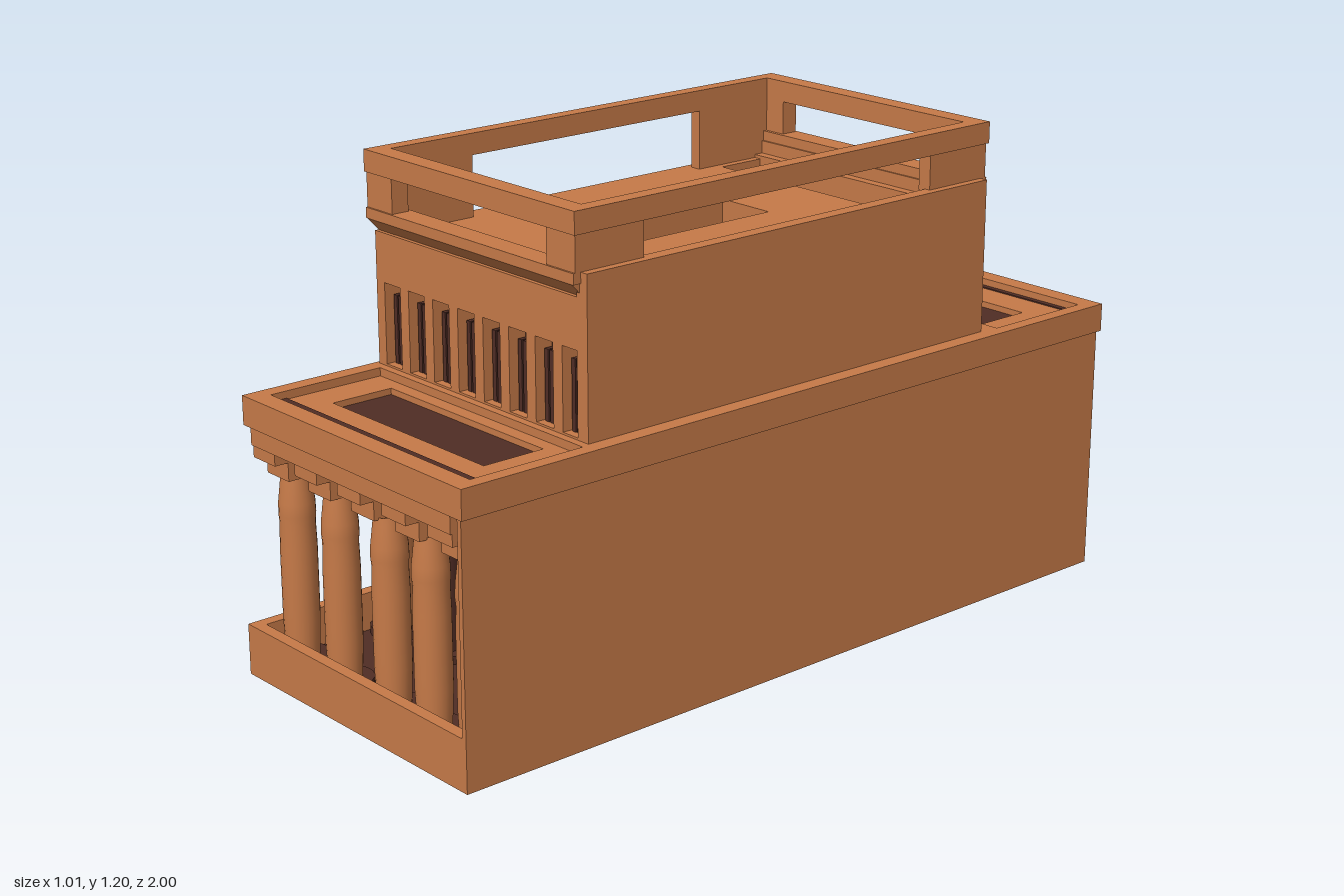
import * as THREE from 'three';

export function createModel() {
  const root = new THREE.Group();
  const mat = (name, color, side = THREE.FrontSide) => {
    const m = new THREE.MeshStandardMaterial({ color, side });
    m.name = name;
    return m;
  };
  const clay = mat('terracotta', 0xc67a48, THREE.DoubleSide);
  const dark = mat('dark brown', 0x502d25, THREE.DoubleSide);
  const black = mat('near black', 0x120d0b);

  const add = (name, geo, m = clay, parent = root) => {
    const mesh = new THREE.Mesh(geo, m);
    mesh.name = name;
    parent.add(mesh);
    return mesh;
  };
  // Box given by its limits on each axis
  const box = (name, x0, x1, y0, y1, z0, z1, m = clay, parent = root) => {
    const b = add(name, new THREE.BoxGeometry(x1 - x0, y1 - y0, z1 - z0), m, parent);
    b.position.set((x0 + x1) / 2, (y0 + y1) / 2, (z0 + z1) / 2);
    return b;
  };
  // Horizontal slab with a rectangular opening; rectangles are [x0, x1, z0, z1]
  const frame = (name, o, h, y0, y1, m = clay) => {
    const corners = ([a, b, c, d]) => [[a, -c], [b, -c], [b, -d], [a, -d]].map(p => new THREE.Vector2(...p));
    const shape = new THREE.Shape(corners(o));
    shape.holes.push(new THREE.Path(corners(h)));
    const geo = new THREE.ExtrudeGeometry(shape, { depth: y1 - y0, bevelEnabled: false });
    geo.rotateX(-Math.PI / 2);
    add(name, geo, m).position.y = y0;
  };
  const lathe = (name, pts, x, z, m = clay, sides = 24, parent = root) => {
    const geo = new THREE.LatheGeometry(pts.map(p => new THREE.Vector2(...p)), sides);
    const mesh = add(name, geo, m, parent);
    mesh.position.set(x, 0, z);
    return mesh;
  };
  // Prism extruded along z from an x-y outline
  const prism = (name, pts, z0, z1, m = clay) => {
    const shape = new THREE.Shape(pts.map(p => new THREE.Vector2(...p)));
    const geo = new THREE.ExtrudeGeometry(shape, { depth: z1 - z0, bevelEnabled: false });
    add(name, geo, m).position.z = z0;
  };

  // Base tray with raised lip, and the tall blind wall
  box('floor', -0.31, 0.48, 0.008, 0.03, -0.98, 0.98, dark);
  frame('baseLip', [-0.33, 0.495, -0.995, 0.995], [-0.3, 0.478, -0.965, 0.965], 0, 0.125);
  box('blindWall', 0.482, 0.495, 0.125, 0.62, -0.995, 0.995);
  box('blindWallLining', 0.477, 0.482, 0.03, 0.62, -0.965, 0.965, dark);
  box('blindWallCornice', 0.472, 0.505, 0.62, 0.69, -1, 1);
  box('wallLedge', 0.44, 0.48, 0.62, 0.69, -0.6, 0.63);

  // Column foot on the floor, with a rimmed socket underneath
  const foot = (x, z, r) => {
    const disc = (name, radius, y, h, m) =>
      add(name, new THREE.CylinderGeometry(radius, radius, h, 24), m).position.set(x, y, z);
    disc('columnFoot', r, 0.04, 0.02, dark);
    disc('footRim', r, 0.0065, 0.003, clay);
    disc('footSocket', r * 0.9, 0.0045, 0.003, black);
  };

  // Short bud columns carrying the two end porticoes
  const outerXs = [-0.25, -0.08, 0.108, 0.258, 0.412];
  const innerXs = [-0.25, -0.067, 0.12, 0.305];
  const bud = [[0.038, 0.03], [0.043, 0.14], [0.043, 0.32], [0.041, 0.38], [0.043, 0.4], [0.042, 0.43], [0.036, 0.48], [0.034, 0.5]];
  for (const s of [-1, 1]) {
    // Orders a distance range outward from the centre
    const span = (a, b) => s > 0 ? [a, b] : [-b, -a];
    for (const x of outerXs) {
      lathe('outerBudColumn', bud, x, s * 0.9);
      foot(x, s * 0.9, 0.066);
    }
    for (const x of innerXs) {
      lathe('innerBudColumn', bud, x, s * 0.63, x < -0.2 ? clay : dark);
      foot(x, s * 0.63, 0.066);
      box('innerAbacus', x - 0.0425, x + 0.0425, 0.495, 0.57, s * 0.63 - 0.045, s * 0.63 + 0.045, x < -0.2 ? clay : dark);
    }
    // Stepped blocks between columns and entablature
    for (let i = 0; i < 5; i++) {
      const x = -0.2525 + i * 0.1637;
      box('abacus', x - 0.0425, x + 0.0425, 0.495, 0.54, ...span(0.855, 0.945));
      box('beamEnd', x - 0.0425, x + 0.0425, 0.54, 0.57, ...span(0.82, 0.98));
    }
    // Entablature and recessed roof with a sunken panel
    frame('architrave', [-0.295, 0.445, ...span(0.58, 0.985)], [-0.21, 0.4, ...span(0.68, 0.87)], 0.57, 0.62);
    box('porticoCeiling', -0.21, 0.43, 0.5, 0.62, ...span(0.69, 0.85), dark);
    frame('roofBorder', [-0.3, 0.48, ...span(0.56, 1)], [-0.26, 0.47, ...span(0.65, 0.95)], 0.62, 0.69);
    frame('roofPanel', [-0.27, 0.475, ...span(0.6, 0.96)], [-0.17, 0.38, ...span(0.685, 0.845)], 0.62, 0.67);
    box('sunkenPanel', -0.19, 0.4, 0.61, 0.655, ...span(0.67, 0.86), dark);
    box('roofGutter', -0.26, 0.47, 0.668, 0.673, ...span(s > 0 ? 0.908 : 0.935, 0.95), dark);
  }

  // Tall hall columns: flared ones, and plain dark ones deeper inside
  const shaft = [[0.05, 0.03], [0.056, 0.12], [0.055, 0.4], [0.047, 0.66]];
  const capital = [[0.047, 0.64], [0.054, 0.65], [0.048, 0.67], [0.053, 0.71], [0.07, 0.75], [0.102, 0.78], [0.102, 0.81], [0, 0.81]];
  const plain = [[0.045, 0.03], [0.048, 0.12], [0.046, 0.5], [0.042, 0.9]];
  for (const z of [-0.2, 0.215]) {
    for (const x of [-0.232, 0.125, 0.3]) {
      lathe('hallShaft', shaft, x, z, x < -0.2 ? clay : dark, 28);
      lathe('hallCapital', capital, x, z, clay, 28);
      foot(x, z, 0.08);
    }
    box('hallAbacus', -0.277, -0.187, 0.81, 0.89, z - 0.045, z + 0.045);
    lathe('plainShaft', plain, -0.067, z, dark);
    foot(-0.067, z, 0.075);
  }
  for (const z of [-0.41, 0.42]) {
    for (const x of innerXs.slice(1)) {
      lathe('plainShaft', plain, x, z, dark);
      foot(x, z, 0.07);
    }
  }
  // Thick hall roof with skylight, and the open-side beam
  frame('hallRoof', [-0.26, 0.315, -0.4, 0.45], [0, 0.16, -0.18, 0.22], 0.88, 1);
  box('hallBeam', -0.31, -0.24, 0.87, 1, -0.55, 0.45);

  // Upper storey: blind side wall and two windowed end walls
  box('upperSideWall', 0.43, 0.465, 0.62, 1.065, -0.6, 0.63);
  box('sideWallLining', 0.424, 0.43, 0.62, 0.94, -0.54, 0.56, dark);
  for (const s of [-1, 1]) {
    const zc = 0.015;
    const zs = (a, b) => s > 0 ? [zc + a, zc + b] : [zc - b, zc - a];
    box('endWallLintel', -0.29, 0.465, 0.89, 1.008, ...zs(0.545, 0.615));
    box('endWallSill', -0.29, 0.445, 0.62, 0.695, ...zs(0.545, 0.615));
    for (let i = 0; i <= 8; i++) {
      const left = i === 0 ? -0.29 : -0.2 + (i - 1) * 0.0915;
      const right = i === 8 ? 0.465 : -0.26 + i * 0.0915;
      box('windowPier', left, right, 0.69, 0.89, ...zs(0.545, 0.615));
      if (i === 8) continue;
      for (let k = 0; k < 3; k++) {
        const x = right + 0.013 + k * 0.017;
        box('windowBar', x - 0.006, x + 0.006, 0.69, 0.86, ...zs(0.57, 0.595), dark);
      }
    }
    box('windowBack', -0.28, 0.44, 0.69, 0.89, ...zs(0.555, 0.568), dark);
    box('endWallLining', -0.285, 0.43, 0.62, 0.94, ...zs(0.538, 0.545), dark);
    // Cornice with sloping underside, then corner posts of the parapet
    const slope = box('corniceSlope', -0.29, 0.44, 1.008, 1.04, ...zs(0.57, 0.635));
    const p = slope.geometry.attributes.position;
    for (let i = 0; i < p.count; i++) {
      if (p.getY(i) < 0 && p.getZ(i) * s > 0) p.setZ(i, p.getZ(i) - s * 0.03);
    }
    slope.geometry.computeVertexNormals();
    box('cornice', -0.295, 0.445, 1.04, 1.065, ...zs(0.575, 0.635));
    box('parapetPost', -0.295, -0.2, 1.065, 1.15, ...zs(0.585, 0.63));
    box('parapetPost', 0.35, 0.445, 1.065, 1.15, ...zs(0.585, 0.63));
    box('sideParapetPost', 0.41, 0.445, 1.06, 1.15, ...zs(0.44, 0.63));
    box('openSidePost', -0.29, -0.26, 1, 1.15, ...zs(0.355, 0.59));
  }
  frame('parapetRail', [-0.297, 0.45, -0.62, 0.65], [-0.26, 0.412, -0.57, 0.6], 1.148, 1.2);

  // Entrance stair between two sloping side walls
  for (const [z0, z1] of [[-0.13, -0.09], [0.1, 0.16]]) {
    prism('stairSide', [[-0.51, 0], [-0.2, 0], [-0.2, 0.125], [-0.24, 0.125], [-0.51, 0.008]], z0, z1);
  }
  box('stairHollow', -0.33, -0.2, 0.001, 0.007, -0.09, 0.1, black);
  for (let i = 0; i < 7; i++) {
    const x = -0.508 + i * 0.029;
    box('step', x, x + 0.03, i * 0.011, 0.01 + i * 0.012, -0.1, 0.11);
  }
  box('landing', -0.31, -0.22, 0.03, 0.1, -0.1, 0.11);

  // Guardian statues facing the stair side, broad across the shoulders
  for (const z of [-0.19, 0.22]) {
    const statue = new THREE.Group();
    statue.name = 'guardianStatue';
    statue.position.set(-0.37, 0, z);
    root.add(statue);
    box('plinth', -0.03, 0.025, 0, 0.035, -0.035, 0.035, clay, statue);
    for (const s of [-1, 1]) {
      const leg = add('leg', new THREE.CylinderGeometry(0.02, 0.017, 0.14, 14), clay, statue);
      leg.position.set(0.002, 0.1, s * 0.016);
      const arm = add('arm', new THREE.CapsuleGeometry(0.014, 0.05, 4, 12), clay, statue);
      arm.position.set(0.004, 0.21, s * 0.037);
      const hand = add('forearm', new THREE.CapsuleGeometry(0.011, 0.02, 4, 12), clay, statue);
      hand.position.set(-0.008, 0.178, s * 0.032);
      hand.rotation.z = Math.PI / 2;
    }
    const torso = [[0, 0.15], [0.023, 0.155], [0.02, 0.185], [0.023, 0.225], [0.02, 0.245], [0.013, 0.255], [0.013, 0.27]];
    lathe('torso', torso, 0, 0, clay, 16, statue).scale.z = 1.5;
    const head = add('head', new THREE.SphereGeometry(0.02, 16, 12), clay, statue);
    head.position.set(0, 0.275, 0);
    box('beard', -0.024, -0.015, 0.245, 0.265, -0.006, 0.006, clay, statue);
    lathe('headdress', [[0, 0.288], [0.023, 0.288], [0.024, 0.3], [0.02, 0.312], [0.011, 0.33], [0.007, 0.34], [0, 0.343]], 0, 0, clay, 16, statue);
  }
  return root;
}
